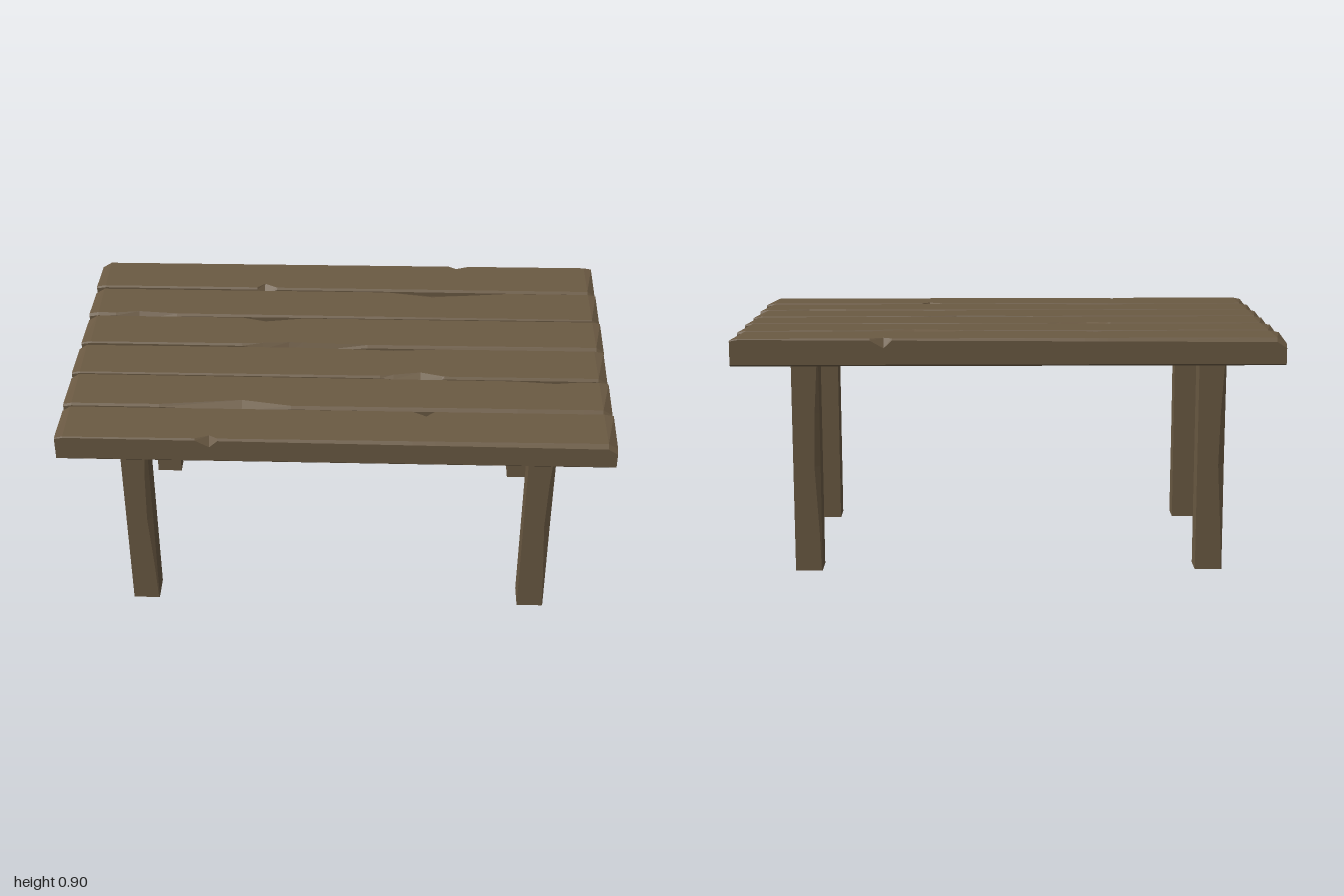
import * as THREE from 'three';

const wood = new THREE.MeshStandardMaterial({ color: 0x6b5a43, flatShading: true });

// Skin a row of equal-length cross-section loops and cap both ends.
function loft(sections) {
  const pos = [];
  const tri = (a, b, c) => pos.push(...a, ...b, ...c);
  const n = sections[0].length;
  for (let s = 0; s < sections.length - 1; s++) {
    const a = sections[s], b = sections[s + 1];
    for (let i = 0; i < n; i++) {
      const j = (i + 1) % n;
      tri(a[i], a[j], b[i]);
      tri(a[j], b[j], b[i]);
    }
  }
  const first = sections[0], last = sections[sections.length - 1];
  for (let i = 1; i < n - 1; i++) {
    tri(first[0], first[i + 1], first[i]);
    tri(last[0], last[i], last[i + 1]);
  }
  const geo = new THREE.BufferGeometry();
  geo.setAttribute('position', new THREE.Float32BufferAttribute(pos, 3));
  geo.computeVertexNormals();
  return geo;
}

// Plank along x: bevelled top edges, chips knocked out of them, worn ends.
// chip: x, half length, side (-1 back, 1 front), inset, drop
function plankGeometry({ back, front, chips }) {
  const stations = [-1, -0.97, 0.96, 0.995];
  for (const c of chips) stations.push(c.x - c.w, c.x, c.x + c.w * 0.6);
  stations.sort((a, b) => a - b);

  const wear = (x, side) => {
    const [l, r] = side < 0 ? back : front;
    const base = THREE.MathUtils.lerp(l, r, (x + 1) / 2);
    let inset = base, drop = base * 1.2;
    for (const c of chips) {
      if (c.side !== side) continue;
      const reach = x < c.x ? c.w : c.w * 0.6;
      const k = Math.max(0, 1 - Math.abs(x - c.x) / reach);
      inset += c.inset * k;
      drop += c.drop * k;
    }
    return [inset, drop];
  };

  const h = 0.0955, y0 = 0.8, y1 = 0.9, e = 0.006;
  return loft(stations.map((x) => {
    const [ib, db] = wear(x, -1), [jf, df] = wear(x, 1);
    const zs = -0.004 * x;
    const tb = y1 - (x <= -1 ? 0.02 : x > 0.99 ? 0.006 : 0);
    const tf = y1 - (x <= -1 ? 0.006 : x > 0.99 ? 0.022 : 0);
    return [
      [x, tb, zs - h + ib], [x, tf, zs + h - jf],
      [x, tf - df, zs + h], [x, y0 + e, zs + h],
      [x, y0, zs + h - e], [x, y0, zs - h + e],
      [x, y0 + e, zs - h], [x, tb - db, zs - h],
    ];
  }));
}

// Square post with one or two vertical corners hewn away towards the middle.
function legGeometry(bothCorners) {
  const r = 0.05;
  const rows = [[0, 0.003], [0.15, 0.008], [0.4, 0.022], [0.6, 0.017], [0.8, 0.005]];
  return loft(rows.map(([y, cut]) => {
    const a = cut, b = bothCorners ? cut * 0.5 : 0.002;
    return [
      [-r, y, r], [r - a, y, r], [r, y, r - a * 0.45],
      [r, y, -r], [-r + b * 0.45, y, -r], [-r, y, -r + b],
    ];
  }));
}

export function createModel() {
  const group = new THREE.Group();
  const add = (geo, name, x, z, turn) => {
    const mesh = new THREE.Mesh(geo, wood);
    mesh.name = name;
    mesh.position.set(x, 0, z);
    mesh.rotation.y = turn;
    group.add(mesh);
  };

  // Planks from the middle outwards; the back half is the front half turned round.
  const planks = [
    { back: [0.012, 0.004], front: [0.004, 0.008], chips: [
      { x: 0.3, w: 0.15, side: 1, inset: 0.025, drop: 0.012 },
      { x: 0.2, w: 0.3, side: -1, inset: 0.012, drop: 0.03 }] },
    { back: [0.004, 0.008], front: [0.006, 0.012], chips: [
      { x: -0.35, w: 0.3, side: 1, inset: 0.032, drop: 0.012 },
      { x: 0.8, w: 0.15, side: -1, inset: 0.012, drop: 0.02 }] },
    { back: [0.008, 0.005], front: [0.003, 0.013], chips: [
      { x: 0.32, w: 0.05, side: -1, inset: 0.028, drop: 0.02 },
      { x: -0.45, w: 0.05, side: 1, inset: 0.018, drop: 0.028 }] },
  ];
  planks.forEach((spec, i) => {
    const geo = plankGeometry(spec);
    const z = 0.1 + i * 0.2;
    add(geo, `frontPlank${i + 1}`, 0, z, 0);
    add(geo, `backPlank${i + 1}`, 0, -z, Math.PI);
  });

  // Legs in two diagonal pairs.
  const single = legGeometry(false), double = legGeometry(true);
  add(single, 'frontLeftLeg', 0.75, 0.4, 0);
  add(single, 'backRightLeg', -0.75, -0.4, Math.PI);
  add(double, 'backLeftLeg', 0.75, -0.4, Math.PI);
  add(double, 'frontRightLeg', -0.75, 0.4, 0);

  return group;
}
